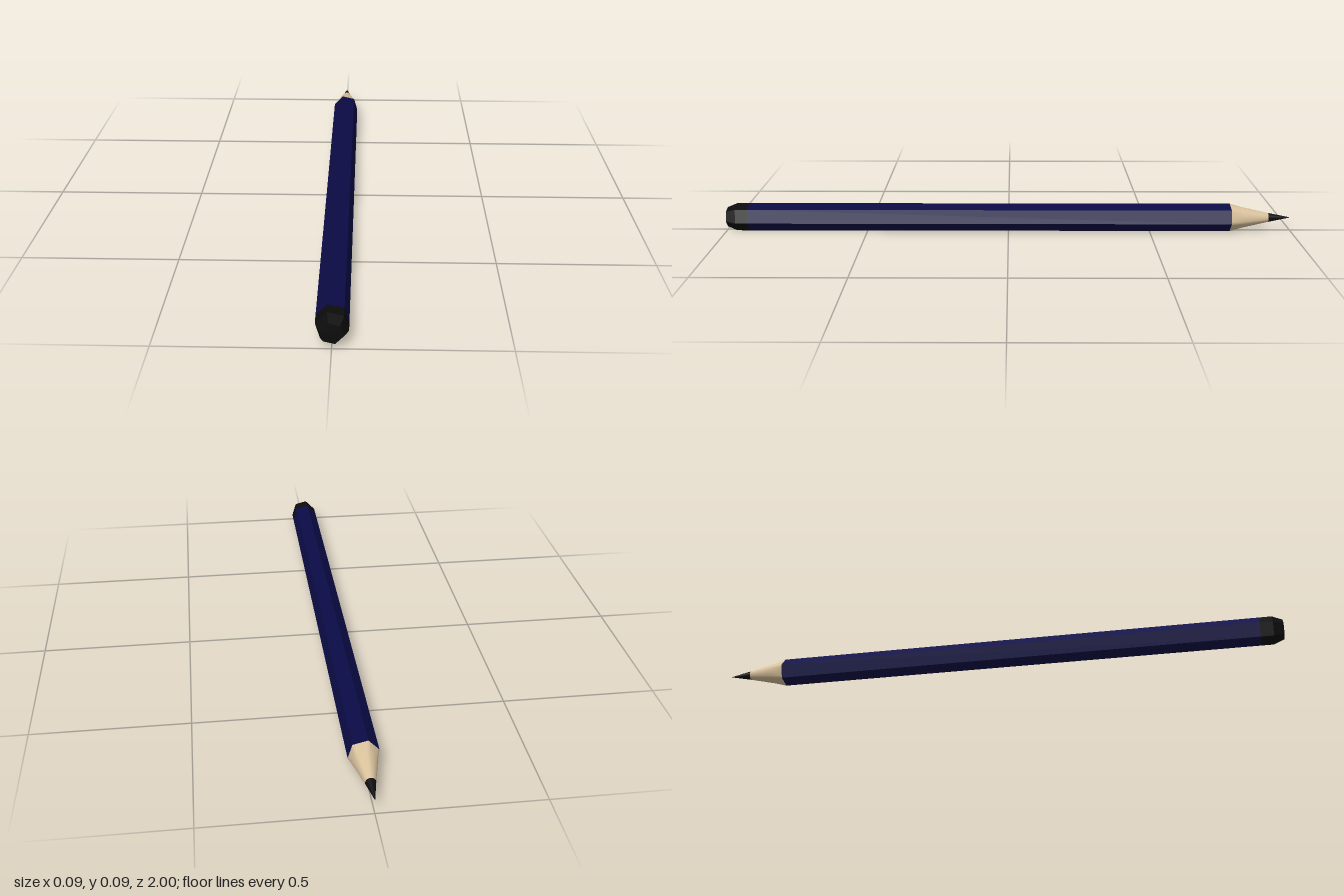
import * as THREE from 'three';

const RADIUS = 0.0485;  // centre to corner of the hexagonal shaft
const TURN = -0.24;     // roll of the hexagon about its long axis
const AXIS_Y = 0.047;

// Joins rings [z, radius, roundness] along z; roundness 0 is a hexagon, 1 a circle.
function loft(rings, sides, flat) {
  const points = [], index = [];
  for (const [z, r, round] of rings) {
    for (let j = 0; j < sides; j++) {
      const t = (j / sides) * Math.PI * 2;
      const hex = Math.cos(Math.PI / 6) / Math.cos((t % (Math.PI / 3)) - Math.PI / 6);
      const d = r * THREE.MathUtils.lerp(hex, 0.94, round);
      points.push(d * Math.cos(t + TURN), d * Math.sin(t + TURN), z);
    }
  }
  for (let i = 0; i < rings.length - 1; i++) {
    for (let j = 0; j < sides; j++) {
      const k = (j + 1) % sides;
      const a = i * sides + j, b = i * sides + k, c = a + sides, d = b + sides;
      if (rings[i][1] > 0) index.push(a, b, d);
      if (rings[i + 1][1] > 0) index.push(a, d, c);
    }
  }
  let geometry = new THREE.BufferGeometry();
  geometry.setAttribute('position', new THREE.Float32BufferAttribute(points, 3));
  geometry.setIndex(index);
  if (flat) geometry = geometry.toNonIndexed();
  geometry.computeVertexNormals();
  return geometry;
}

export function createModel() {
  const material = (name, color) => new THREE.MeshStandardMaterial({ name, color });
  const navy = material('navy paint', 0x0b0b47);
  const black = material('black end', 0x0c0c0c);
  const wood = material('bare wood', 0xd9c19c);
  const graphite = material('graphite', 0x100d10);

  const pencil = new THREE.Group();
  pencil.name = 'pencil';
  pencil.position.y = AXIS_Y;
  const add = (name, geometry, mat) => {
    const mesh = new THREE.Mesh(geometry, mat);
    mesh.name = name;
    pencil.add(mesh);
  };

  // Painted hexagonal shaft
  add('shaft', loft([[-0.785, RADIUS, 0], [0.92, RADIUS, 0]], 6, true), navy);
  // Dipped end with bevelled rim and closed face
  add('endCap', loft([
    [0.92, RADIUS, 0], [0.963, RADIUS, 0], [0.998, 0.034, 0], [1, 0, 0],
  ], 6, true), black);
  // Sharpened wood, blending from hexagon to round
  add('woodCone', loft([
    [-0.92, 0.017, 1], [-0.83, 0.038, 0.8], [-0.785, RADIUS, 0],
  ], 36, false), wood);
  // Lead point
  add('leadTip', loft([[-1, 0, 1], [-0.92, 0.017, 1]], 36, false), graphite);

  const model = new THREE.Group();
  model.name = 'model';
  model.add(pencil);
  return model;
}
